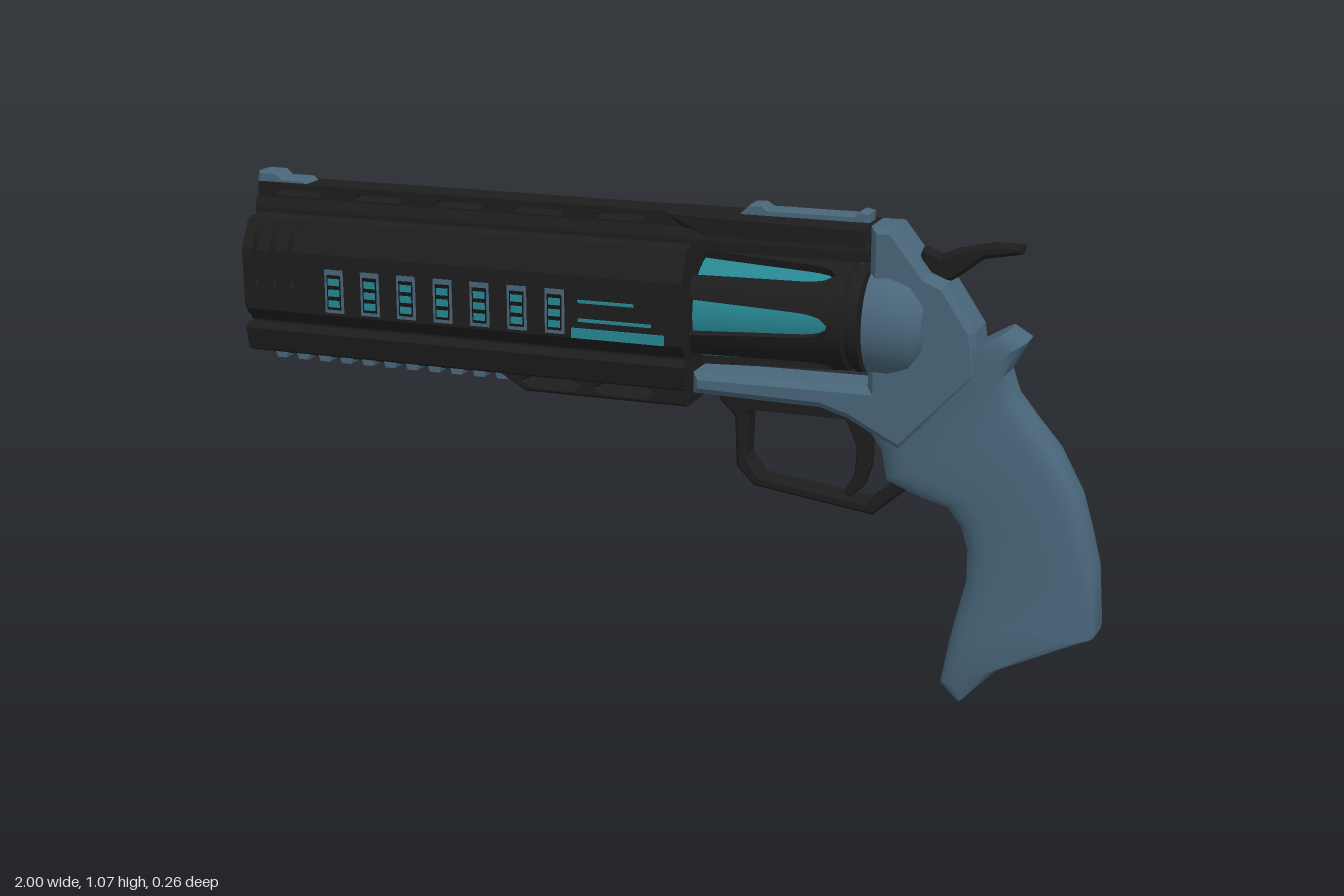
import * as THREE from 'three';
import { toCreasedNormals } from 'three/addons/utils/BufferGeometryUtils.js';

const material = (name, color) => Object.assign(new THREE.MeshStandardMaterial({ color }), { name });

export function createModel() {
  const model = new THREE.Group();
  const black = material('black polymer', 0x1d1d1d);
  const blue = material('blue steel', 0x49667a);
  const teal = material('teal glow', 0x278792);
  const dark = material('dark recess', 0x121414);

  const add = (name, geo, mat, parent = model) => {
    const m = new THREE.Mesh(geo, mat);
    m.name = name;
    parent.add(m);
    return m;
  };
  const toShape = pts => new THREE.Shape(pts.map(p => new THREE.Vector2(...p)));

  // Side profile (x, y) extruded symmetrically in z, with optional bevel and holes
  const plate = (name, pts, half, mat, bevel = 0, holes = []) => {
    const s = toShape(pts);
    s.holes = holes.map(toShape);
    const g = new THREE.ExtrudeGeometry(s, {
      depth: 2 * (half - bevel), bevelEnabled: bevel > 0, bevelSegments: 1,
      bevelSize: bevel, bevelThickness: bevel, bevelOffset: -bevel,
    });
    return add(name, g.translate(0, 0, bevel - half), mat);
  };
  // Mirrored half section (z, y), extruded along x
  const section = (name, x0, x1, half, mat) => {
    const pts = [...half, ...half.map(([z, y]) => [-z, y]).reverse()];
    const g = new THREE.ExtrudeGeometry(toShape(pts), { depth: x1 - x0, bevelEnabled: false });
    return add(name, g.rotateY(Math.PI / 2).translate(x0, 0, 0), mat);
  };
  const box = (name, x0, x1, y0, y1, half, mat, z = 0, parent = model) => add(name,
    new THREE.BoxGeometry(x1 - x0, y1 - y0, 2 * half).translate((x0 + x1) / 2, (y0 + y1) / 2, z), mat, parent);
  // Revolved profile of [x, radius] points around a lengthwise axis at height y; outer walls run towards +x
  const turned = (name, pts, y, mat) => {
    const g = new THREE.LatheGeometry(pts.map(([x, r]) => new THREE.Vector2(r, x)), 32);
    return add(name, toCreasedNormals(g.rotateZ(-Math.PI / 2).translate(0, y, 0), 0.5), mat);
  };
  const slot = (x0, x1, y0, y1, c) => [[x0 + c, y0], [x1 - c, y0], [x1, (y0 + y1) / 2], [x1 - c, y1], [x0 + c, y1], [x0, (y0 + y1) / 2]];

  // Barrel shroud, with three grooves near the muzzle
  const shroud = [[0.075, 0.735], [0.105, 0.737], [0.123, 0.765], [0.125, 0.905], [0.088, 0.972], [0.06, 0.98]];
  const grooved = [[0.075, 0.735], [0.105, 0.737], [0.123, 0.765], [0.124, 0.82], [0.11, 0.835],
    [0.11, 0.915], [0.105, 0.942], [0.088, 0.972], [0.06, 0.98]];
  const front = shroud.map(([z, y]) => [z * 0.9, 0.86 + (y - 0.86) * 0.93]);
  section('muzzleCollar', -0.985, -0.97, front, black);
  let x = -0.97;
  for (const g of [-0.945, -0.9, -0.855]) {
    section('shroudSlab', x, g - 0.006, shroud, black);
    section('shroudGroove', g - 0.006, g + 0.006, grooved, black);
    x = g + 0.006;
  }
  section('shroud', x, 0.09, shroud, black);

  // Muzzle ring and bore
  turned('muzzleRing', [[-0.975, 0.038], [-1, 0.04], [-1, 0.053], [-0.992, 0.06], [-0.97, 0.06]], 0.92, blue);
  turned('bore', [[-0.988, 0], [-0.988, 0.04]], 0.92, dark);

  // Lower shroud rail
  section('shroudJoint', -0.97, 0.09, [[0.085, 0.71], [0.085, 0.74]], black);
  section('lowerRail', -0.985, 0.09, [[0.075, 0.655], [0.1, 0.665], [0.11, 0.715], [0.1, 0.727]], black);

  // Accessory rail teeth
  box('toothBase', -0.95, -0.35, 0.646, 0.66, 0.05, black);
  for (let i = 0; i < 11; i++) {
    const c = -0.925 + i * 0.056;
    plate('railTooth', [[c - 0.018, 0.656], [c - 0.012, 0.636], [c + 0.012, 0.636], [c + 0.018, 0.656]], 0.056, blue);
  }

  // Underlug with through slots
  plate('underlug', [[-0.38, 0.665], [-0.3, 0.618], [0.085, 0.618], [0.09, 0.665]], 0.075, black, 0.006,
    [slot(-0.305, -0.165, 0.633, 0.653, 0.02), slot(-0.13, 0.01, 0.633, 0.653, 0.02)]);

  // Top rib with through slots, and the strap over the cylinder
  section('ribBase', -0.975, 0.485, [[0.06, 0.968], [0.06, 0.99], [0.05, 1.012]], black);
  const ribSlots = [-0.93, -0.725, -0.525, -0.33, -0.14].map(s => slot(s, s + 0.115, 1.017, 1.03, 0.006));
  plate('rib', [[-0.975, 1.01], [0.485, 1.01], [0.485, 1.045], [-0.975, 1.045]], 0.042, black, 0, ribSlots);
  plate('topStrap', [[0.15, 0.975], [0.485, 0.97], [0.485, 1.046], [0.02, 1.046], [0.06, 1.015]], 0.056, black, 0.012);

  // Sights
  plate('frontSight', [[-0.985, 1.04], [-0.85, 1.04], [-0.865, 1.055], [-0.92, 1.055], [-0.935, 1.068], [-0.98, 1.068]], 0.03, blue, 0.005);
  plate('rearSight', [[0.18, 1.04], [0.475, 1.04], [0.475, 1.066], [0.455, 1.07], [0.44, 1.06], [0.25, 1.06], [0.235, 1.07], [0.21, 1.068]], 0.025, blue, 0.004);

  // Side vents and glowing strips, mirrored
  for (const side of [1, -1]) {
    const z = side * 0.124;
    for (let i = 0; i < 7; i++) {
      const c = -0.745 + i * 0.09;
      const vent = new THREE.Group();
      vent.name = 'vent';
      model.add(vent);
      box('ventFrame', c - 0.023, c + 0.023, 0.772, 0.872, 0.002, blue, z, vent);
      box('ventRecess', c - 0.017, c + 0.017, 0.78, 0.86, 0.003, dark, z, vent);
      for (const y of [0.794, 0.819, 0.844]) box('ventGlow', c - 0.014, c + 0.014, y - 0.008, y + 0.008, 0.004, teal, z, vent);
    }
    box('longStrip', -0.165, 0.05, 0.766, 0.788, 0.004, teal, z);
    box('middleStrip', -0.15, 0.02, 0.803, 0.81, 0.003, teal, z);
    box('upperStrip', -0.15, -0.02, 0.845, 0.852, 0.003, teal, z);
  }

  // Cylinder: glowing core, six tapered ribs between flutes, rear rings
  const cy = 0.835;
  turned('cylinderCore', [[0.11, 0], [0.11, 0.112], [0.42, 0.1], [0.42, 0]], cy, teal);
  turned('cylinderAxle', [[0.08, 0.03], [0.49, 0.03]], cy, blue);
  for (let k = 0; k < 6; k++) {
    const g = new THREE.BoxGeometry(0.31, 0.045, 1, 14, 1, 4).translate(0.26, 0.1075, 0);
    const p = g.attributes.position;
    for (let i = 0; i < p.count; i++) {
      const t = (p.getX(i) - 0.105) / 0.31;
      const end = Math.max(0, (t - 0.78) / 0.22);
      const a = p.getZ(i) * (0.42 + 0.22 * t + 0.41 * (1 - Math.sqrt(1 - Math.min(1, end * end))));
      const r = p.getY(i) * (1 - 0.1 * t);
      p.setXYZ(i, p.getX(i), r * Math.cos(a), r * Math.sin(a));
    }
    const rib = add('cylinderRib', toCreasedNormals(g, 0.4), black);
    rib.position.y = cy;
    rib.rotation.x = (k * Math.PI) / 3;
  }
  turned('cylinderCollar', [[0.41, 0], [0.41, 0.117], [0.44, 0.116], [0.445, 0.106], [0.455, 0.106],
    [0.458, 0.117], [0.475, 0.115], [0.475, 0]], cy, black);

  // Frame and recoil shield
  plate('frame', [[0.485, 1.045], [0.535, 1.045], [0.61, 0.95], [0.65, 0.933], [0.715, 0.836], [0.73, 0.74],
    [0.56, 0.56], [0.44, 0.622], [0.38, 0.64], [0.09, 0.645], [0.09, 0.692], [0.485, 0.695]], 0.06, blue, 0.014);
  turned('recoilShield', [[0.486, 0], [0.486, 0.118], [0.53, 0.12], [0.575, 0.106], [0.605, 0.075], [0.61, 0]], cy, blue);
  box('frameUnderside', 0.2, 0.5, 0.615, 0.645, 0.035, black);

  // Hammer
  plate('hammer', [[0.56, 0.92], [0.62, 0.915], [0.67, 0.945], [0.72, 0.985], [0.8, 1.0], [0.802, 1.018],
    [0.74, 1.018], [0.66, 1.0], [0.63, 0.985], [0.59, 1.0]], 0.02, black, 0.008);

  // Trigger and guard
  plate('triggerGuard', [[0.14, 0.65], [0.145, 0.63], [0.18, 0.595], [0.185, 0.48], [0.225, 0.44], [0.497, 0.402], [0.58, 0.475],
    [0.56, 0.495], [0.485, 0.43], [0.24, 0.462], [0.208, 0.505], [0.212, 0.6], [0.24, 0.65]], 0.03, black, 0.006);
  plate('trigger', [[0.42, 0.63], [0.47, 0.63], [0.488, 0.57], [0.488, 0.51], [0.472, 0.46], [0.438, 0.43],
    [0.428, 0.442], [0.452, 0.49], [0.455, 0.55]], 0.016, black, 0.004);

  // Grip: chamfered rings between front and back points [frontX, frontY, backX, backY, halfWidth]
  const rings = [
    [0.63, 0.74, 0.64, 0.745, 0.001], [0.47, 0.65, 0.785, 0.843, 0.058], [0.48, 0.6, 0.824, 0.82, 0.06],
    [0.513, 0.55, 0.785, 0.75, 0.054], [0.525, 0.485, 0.802, 0.7, 0.054], [0.6, 0.455, 0.845, 0.645, 0.056],
    [0.663, 0.44, 0.895, 0.585, 0.06], [0.695, 0.4, 0.947, 0.488, 0.062], [0.71, 0.35, 0.97, 0.41, 0.064],
    [0.71, 0.28, 0.99, 0.33, 0.066], [0.688, 0.19, 1.0, 0.195, 0.069], [0.678, 0.14, 0.995, 0.186, 0.072],
    [0.663, 0.043, 0.8, 0.097, 0.07], [0.705, 0.004, 0.725, 0.02, 0.056], [0.71, 0.002, 0.715, 0.004, 0.001],
  ];
  const N = 20, verts = [], index = [];
  const soft = v => Math.sign(v) * Math.abs(v) ** 0.45;
  rings.forEach(([fx, fy, bx, by, w], i) => {
    for (let j = 0; j < N; j++) {
      const t = (j / N) * Math.PI * 2, c = (1 + soft(Math.cos(t))) / 2;
      verts.push(fx + (bx - fx) * c, fy + (by - fy) * c, w * soft(Math.sin(t)));
      if (i === rings.length - 1) continue;
      const a = i * N + j, b = i * N + (j + 1) % N;
      index.push(a, b, a + N, b, b + N, a + N);
    }
  });
  const grip = new THREE.BufferGeometry();
  grip.setAttribute('position', new THREE.Float32BufferAttribute(verts, 3));
  grip.setIndex(index);
  add('grip', toCreasedNormals(grip, 0.6), blue);

  return model;
}
